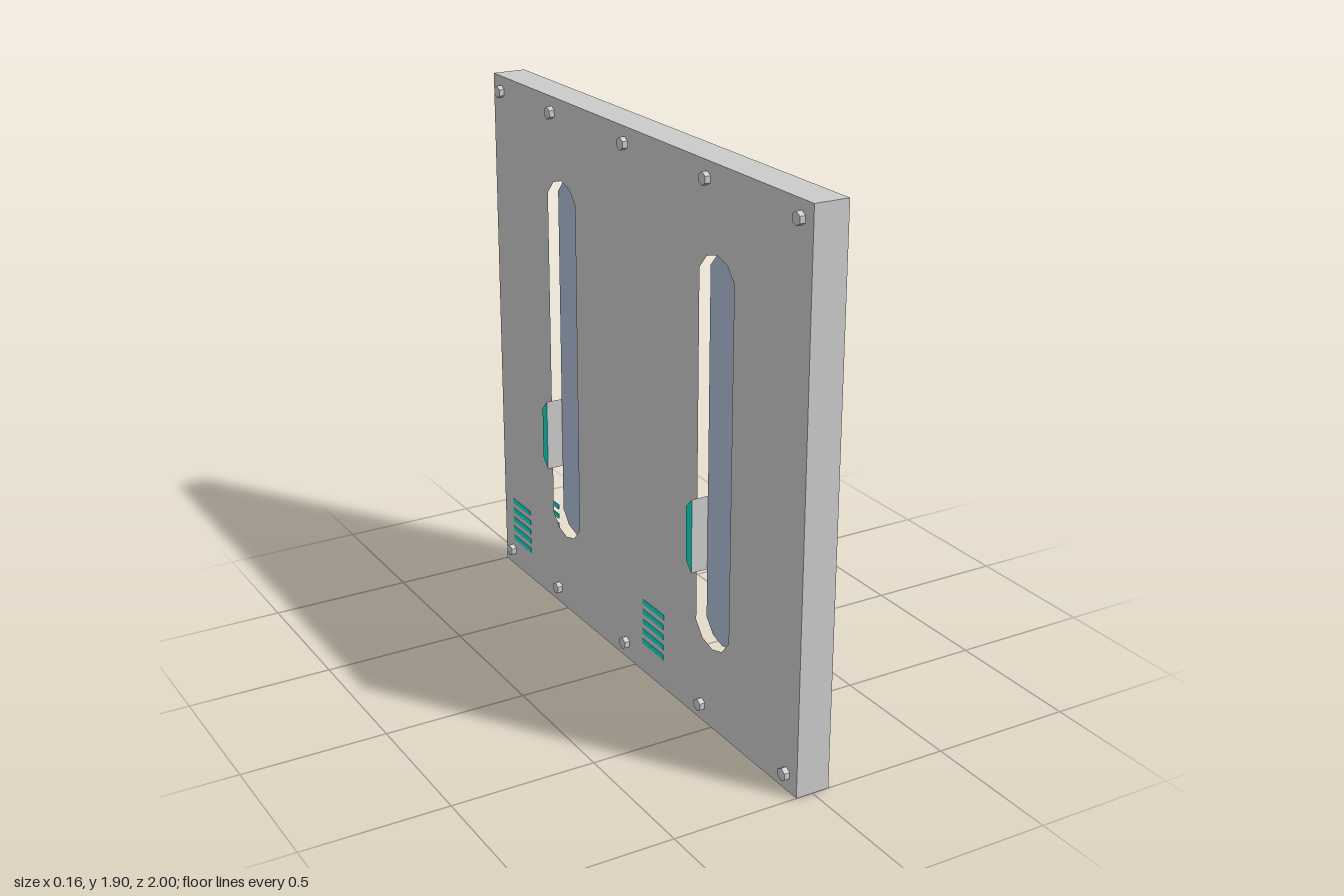
import * as THREE from 'three';

const GREY = 0xcccccc, GLASS = 0xafbfd8, TEAL = 0x12dccc;
const T = 0.06; // half thickness of the wall

const mat = (color) => new THREE.MeshStandardMaterial({ color, flatShading: true });

// Extrudes a (z, y) outline symmetrically along x
function slab(outline, half, holes = []) {
  const toPoints = (pts) => pts.map(([z, y]) => new THREE.Vector2(-z, y));
  const shape = new THREE.Shape(toPoints(outline));
  shape.holes = holes.map((h) => new THREE.Path(toPoints(h)));
  const geo = new THREE.ExtrudeGeometry(shape, { depth: half * 2, bevelEnabled: false });
  return geo.translate(0, 0, -half).rotateY(Math.PI / 2);
}

// Tall slot with faceted ends, centred on z = c
function slotOutline(c) {
  const w = 0.099, m = 0.058;
  return [
    [c - w, 0.353], [c - m, 0.305], [c, 0.289], [c + m, 0.305], [c + w, 0.353],
    [c + w, 1.557], [c + m, 1.603], [c, 1.62], [c - m, 1.603], [c - w, 1.557],
  ];
}

export function createModel() {
  const model = new THREE.Group();
  const grey = mat(GREY), glass = mat(GLASS), teal = mat(TEAL);
  const add = (name, geo, material, x = 0, y = 0, z = 0) => {
    const mesh = new THREE.Mesh(geo, material);
    mesh.name = name;
    mesh.position.set(x, y, z);
    model.add(mesh);
    return mesh;
  };

  const bays = [0.5, -0.5];

  // Wall panel with two slots
  const wall = [[-1, 0], [1, 0], [1, 1.9], [-1, 1.9]];
  add('wallPanel', slab(wall, T, bays.map(slotOutline)), grey);

  for (const c of bays) {
    // Recessed window pane
    add('windowPane', slab(slotOutline(c), 0.02), glass);

    // Handle beside the slot: teal faces, grey edges
    const z0 = c - 0.099, z1 = c - 0.134;
    const handle = [[z0, 0.525], [z0, 0.785], [z1, 0.75], [z1, 0.56]];
    add('handle', slab(handle, 0.08), [teal, grey]);
  }

  // Vent bars on both faces
  const bar = new THREE.BoxGeometry(0.004, 0.018, 0.14);
  for (const side of [1, -1])
    for (const z of [0.123, -0.86])
      for (let i = 0; i < 5; i++)
        add('ventBar', bar, teal, side * T, 0.116 + i * 0.038, z);

  // Hexagonal bolts along the top and bottom, through both faces
  const bolt = new THREE.CylinderGeometry(0.022, 0.022, 0.02, 6);
  bolt.rotateZ(Math.PI / 2).rotateX(Math.PI / 2);
  const pos = bolt.attributes.position;
  let top = 0;
  for (let i = 0; i < pos.count; i++) top = Math.max(top, pos.getY(i));
  if (top < 0.0215) bolt.rotateX(Math.PI / 6); // corner points up
  for (const side of [1, -1])
    for (const y of [0.06, 1.845])
      for (const z of [0.94, 0.44, -0.06, -0.56, -0.94])
        add('bolt', bolt, grey, side * 0.069, y, z);

  return model;
}
